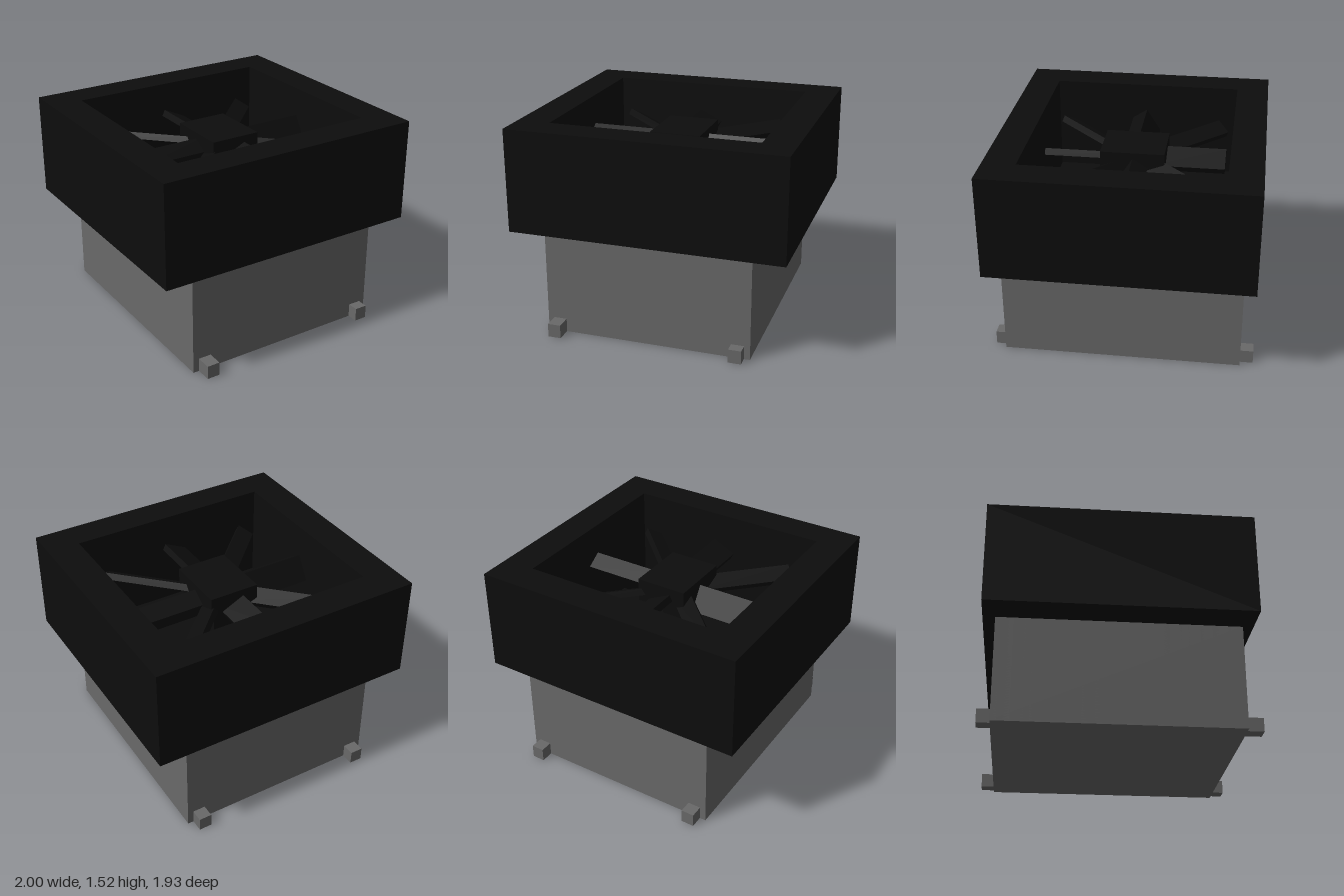
import * as THREE from 'three';

const metal = new THREE.MeshStandardMaterial({ color: 0x696969 });
metal.name = 'grey metal';
const plastic = new THREE.MeshStandardMaterial({ color: 0x0d0d0d });
plastic.name = 'black plastic';

// Box given by its lower and upper corners
function box(name, material, parent, [x0, y0, z0], [x1, y1, z1]) {
  const mesh = new THREE.Mesh(new THREE.BoxGeometry(x1 - x0, y1 - y0, z1 - z0), material);
  mesh.position.set((x0 + x1) / 2, (y0 + y1) / 2, (z0 + z1) / 2);
  mesh.name = name;
  parent.add(mesh);
  return mesh;
}

// Start and end of each fin: two equal banks with a double gap between them
function finSpans(start, end, perBank) {
  const step = (end - start) / (perBank * 4);
  const spans = [];
  for (let i = 0; i < perBank * 2; i++) {
    const a = start + step * (i * 2 + (i >= perBank ? 1 : 0));
    spans.push([a, a + step]);
  }
  return spans;
}

function createHeatSink() {
  const sink = new THREE.Group();
  sink.name = 'heatSink';
  const X0 = -0.76, X1 = 0.755, Z0 = -0.875, Z1 = 0.85, top = 0.77, d = 0.045;
  box('basePlate', metal, sink, [X0, 0, Z0], [X1, 0.012, Z1]);
  box('core', metal, sink, [X0 + d, 0.005, Z0 + d], [X1 - d, top, Z1 - d]);

  // Vertical fins on the front, back and sides
  for (const [a, b] of finSpans(X0, X1, 8)) box('fin', metal, sink, [a, 0.005, Z0], [b, top, Z1]);
  for (const [a, b] of finSpans(Z0, Z1, 10)) box('sideFin', metal, sink, [X0, 0.005, a], [X1, top, b]);

  // Mounting feet
  for (const [a, b, front] of [[-0.715, -0.62, 0.965], [0.618, 0.712, 0.93]]) {
    box('frontFoot', metal, sink, [a, 0, 0.78], [b, 0.1, front]);
    box('backFoot', metal, sink, [a, 0, -0.968], [b, 0.1, -0.8]);
  }
  return sink;
}

function createFan() {
  const fan = new THREE.Group();
  fan.name = 'fan';

  // Square housing with a rectangular opening
  const X = 1, Z0 = -0.962, Z1 = 0.925, y0 = 0.765, y1 = 1.52;
  const rect = (Path, x, a, b) => new Path([[-x, -b], [x, -b], [x, -a], [-x, -a]].map(p => new THREE.Vector2(...p)));
  const outline = rect(THREE.Shape, X, Z0, Z1);
  outline.holes.push(rect(THREE.Path, 0.76, -0.725, 0.69));
  const geometry = new THREE.ExtrudeGeometry(outline, { depth: y1 - y0, bevelEnabled: false });
  geometry.rotateX(-Math.PI / 2);
  const housing = new THREE.Mesh(geometry, plastic);
  housing.position.y = y0;
  housing.name = 'housing';
  fan.add(housing);
  box('housingFloor', plastic, fan, [-0.77, 0.772, -0.735], [0.77, 0.8, 0.7]);

  // Hub on its axle
  box('axle', plastic, fan, [-0.08, 0.79, -0.1], [0.08, 1.2, 0.06]);
  box('hub', plastic, fan, [-0.19, 1.2, -0.25], [0.19, 1.375, 0.215]);

  // Eight pitched blades
  for (let i = 0; i < 8; i++) {
    const diagonal = i % 2 === 1, sideways = i % 4 === 0;
    const length = diagonal ? 0.86 : sideways ? 0.715 : 0.66;
    const [width, thick, pitch, y] = diagonal ? [0.13, 0.05, 0.5, 1.25]
      : sideways ? [0.2, 0.13, 1, 1.21] : [0.19, 0.05, 0.45, 1.26];
    const blade = new THREE.Group();
    blade.name = 'blade';
    const paddle = new THREE.Mesh(new THREE.BoxGeometry(length - 0.12, thick, width), plastic);
    paddle.name = 'bladePaddle';
    paddle.position.x = (length + 0.12) / 2;
    paddle.rotation.x = pitch;
    blade.add(paddle);
    blade.position.set(0, y, -0.02);
    blade.rotation.y = i * Math.PI / 4;
    fan.add(blade);
  }
  return fan;
}

export function createModel() {
  const model = new THREE.Group();
  model.name = 'processorCooler';
  model.add(createHeatSink(), createFan());
  return model;
}
